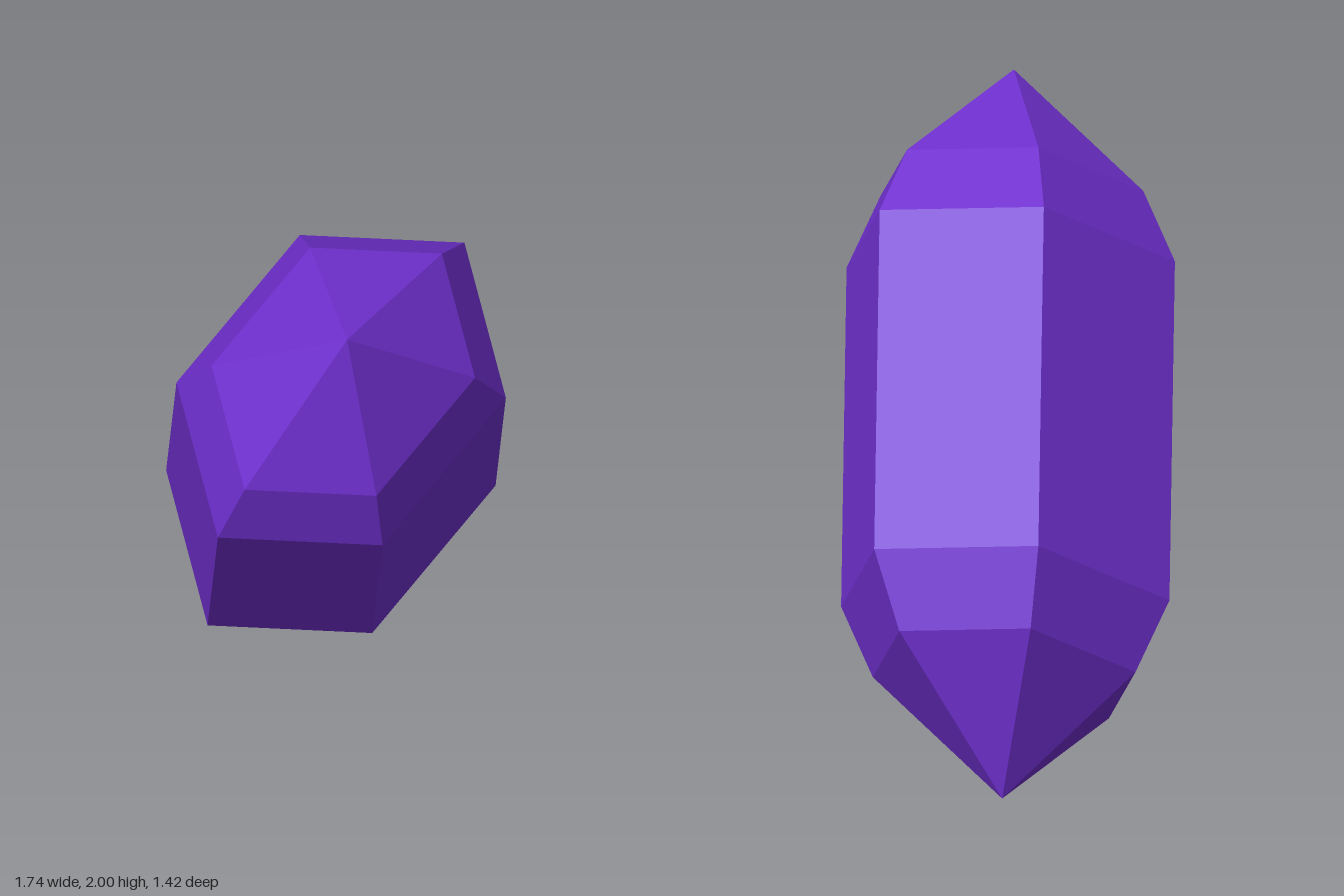
import * as THREE from 'three';

export function createModel() {
  const group = new THREE.Group();
  group.name = 'crystal';
  const violet = new THREE.MeshStandardMaterial({ color: 0x7030d0, flatShading: true });
  violet.name = 'violet';

  // Half profile (radius, height along the axis), mirrored for the lower point
  const upper = [[1, 0.606], [0.8, 0.86], [0, 1.303]];
  const lower = upper.map(([r, y]) => [r, -y]).reverse();
  const profile = [...lower, ...upper].map(([r, y]) => new THREE.Vector2(r, y));

  // Six-sided prism with stepped points, slightly flattened across
  const geometry = new THREE.LatheGeometry(profile, 6);
  geometry.scale(0.51, 1, 0.655);

  // Lean the long axis and lift the crystal onto the ground
  const axis = new THREE.Vector3(-0.63, 1, 0.552).normalize();
  const side = new THREE.Vector3().crossVectors(axis, new THREE.Vector3(0.57, 0.315, 0.07)).normalize();
  const wide = new THREE.Vector3().crossVectors(side, axis);
  geometry.applyMatrix4(new THREE.Matrix4().makeBasis(side, axis, wide));
  geometry.translate(0, 1, 0);

  // Separate the facets so each is flat
  const faceted = geometry.toNonIndexed();
  faceted.computeVertexNormals();

  const mesh = new THREE.Mesh(faceted, violet);
  mesh.name = 'crystalBody';
  group.add(mesh);
  return group;
}
